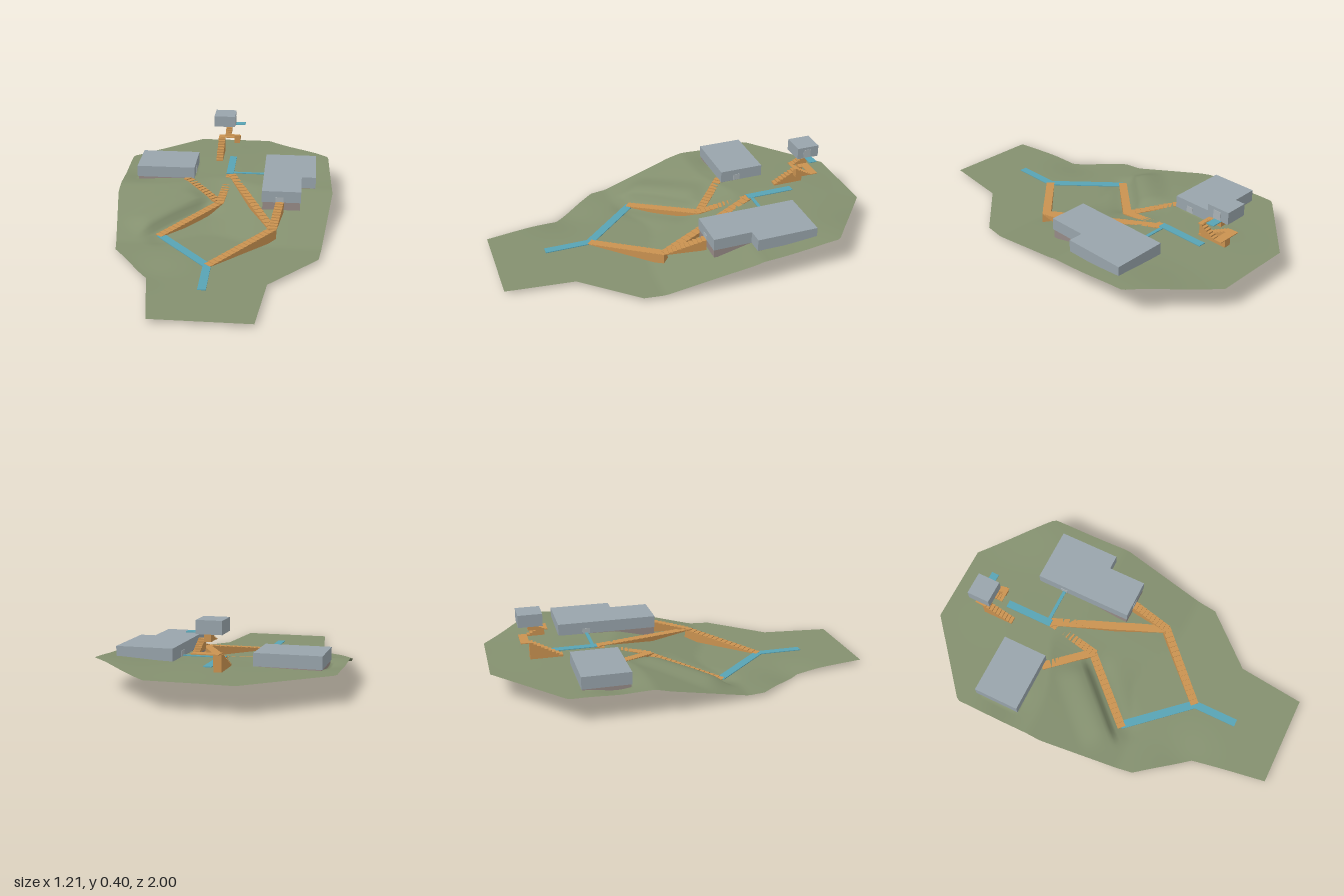
import * as THREE from 'three';

const mat = (name, color, side = THREE.FrontSide) => {
  const m = new THREE.MeshStandardMaterial({ color, side });
  m.name = name;
  return m;
};

export function createModel() {
  const grass = mat('grass', 0x84906f, THREE.DoubleSide);
  const wood = mat('wood', 0xc99250);
  const path = mat('path', 0x58a3b4);
  const wall = mat('wall', 0x98a4ab);
  const footing = mat('footing', 0x968a86);
  const door = mat('door', 0xa9b2b6);
  const root = new THREE.Group();
  root.name = 'hillsideSite';

  const add = (name, geo, m, parent = root) => {
    const mesh = new THREE.Mesh(geo, m);
    mesh.name = name;
    parent.add(mesh);
    return mesh;
  };

  // Ground: rows across the site, draped over a height rule
  const leftEdge = [[-1, -0.22], [-0.67, -0.61], [-0.17, -0.61], [0.34, -0.53], [0.6, -0.325], [1, -0.26]];
  const rightEdge = [[-1, 0.21], [-0.69, 0.58], [-0.22, 0.6], [0.36, 0.525], [0.64, 0.275], [1, 0.235]];
  const edgeAt = (pts, z) => {
    let i = 0;
    while (i < pts.length - 2 && z > pts[i + 1][0]) i++;
    const [a, b] = [pts[i], pts[i + 1]];
    return a[1] + (b[1] - a[1]) * (z - a[0]) / (b[0] - a[0]);
  };
  const bump = (x, z, cx, cz, r) => Math.exp(-((x - cx) ** 2 + (z - cz) ** 2) / (r * r));
  const step = THREE.MathUtils.smoothstep;
  const height = (x, z) => {
    const shifted = z + 0.12 * Math.exp(-(((x + 0.05) / 0.2) ** 2));
    let y = 0.022 + 0.12 * THREE.MathUtils.clamp((0.25 - shifted) / 0.5, 0, 1);
    // Cliff running beside the lower left stair
    const d = -(x + 0.33) * 0.73 - (z - 0.18) * 0.68;
    const s = (x + 0.33) * 0.68 - (z - 0.18) * 0.73;
    const along = step(s, -0.1, 0.02) * (1 - step(s, 0.33, 0.45));
    y -= 0.022 * along * Math.exp(-((d / 0.07) ** 2));
    y += 0.03 * along * step(d, 0.05, 0.075) * (1 - step(d, 0.1, 0.26));
    // Hollows and the raised back corner
    y -= 0.018 * bump(x, z, -0.34, 0.55, 0.14);
    y -= 0.02 * bump(x, z, -0.5, -0.42, 0.1);
    y += 0.027 * bump(x, z, 0.55, -0.72, 0.25);
    y += 0.008 * bump(x, z, 0, -0.7, 0.25);
    // Mound hidden inside the left building
    if (x > -0.51 && x < -0.215 && z > -0.575 && z < -0.365) y = 0.165;
    return Math.max(y, 0);
  };
  const rows = 100, cols = 56, pos = [], idx = [];
  for (let r = 0; r <= rows; r++) {
    const z = -1 + 2 * r / rows;
    const x0 = edgeAt(leftEdge, z), x1 = edgeAt(rightEdge, z);
    for (let c = 0; c <= cols; c++) {
      const x = x0 + (x1 - x0) * c / cols;
      pos.push(x, height(x, z), z);
      if (r < rows && c < cols) {
        const a = r * (cols + 1) + c, b = a + cols + 1;
        idx.push(a, b, a + 1, b, b + 1, a + 1);
      }
    }
  }
  const ground = new THREE.BufferGeometry();
  ground.setAttribute('position', new THREE.Float32BufferAttribute(pos, 3));
  ground.setIndex(idx);
  ground.computeVertexNormals();
  add('ground', ground, grass);

  // Solid stepped wedge climbing from a to b
  const stair = (name, a, b, width, steps) => {
    const dx = b[0] - a[0], dz = b[2] - a[2], len = Math.hypot(dx, dz), rise = b[1] - a[1];
    const shape = new THREE.Shape();
    shape.moveTo(0, 0);
    for (let i = 0; i < steps; i++) {
      shape.lineTo(len * i / steps, rise * (i + 1) / steps);
      shape.lineTo(len * (i + 1) / steps, rise * (i + 1) / steps);
    }
    shape.lineTo(len, 0);
    const geo = new THREE.ExtrudeGeometry(shape, { depth: width, bevelEnabled: false });
    geo.translate(0, 0, -width / 2);
    const mesh = add(name, geo, wood);
    mesh.position.set(...a);
    mesh.rotation.y = Math.atan2(-dz, dx);
  };
  stair('lowerRightStair', [-0.035, 0.028, 0.485], [0.285, 0.09, 0.16], 0.045, 16);
  stair('upperRightStair', [0.28, 0.09, 0.17], [0.01, 0.15, -0.43], 0.045, 18);
  stair('rightBuildingStair', [0.28, 0.09, 0.17], [0.31, 0.15, -0.05], 0.045, 10);
  stair('lowerLeftStair', [-0.33, 0.028, 0.18], [-0.025, 0.09, -0.15], 0.045, 16);
  stair('upperMiddleStair', [-0.03, 0.09, -0.13], [0.01, 0.15, -0.43], 0.045, 12);
  stair('leftBuildingStair', [-0.025, 0.09, -0.14], [-0.24, 0.15, -0.35], 0.045, 12);

  // Flat strips of walkway
  const strip = (name, x0, z0, x1, z1, y, width, m = path) => {
    const mesh = add(name, new THREE.BoxGeometry(Math.hypot(x1 - x0, z1 - z0), 0.004, width), m);
    mesh.position.set((x0 + x1) / 2, y, (z0 + z1) / 2);
    mesh.rotation.y = Math.atan2(z0 - z1, x1 - x0);
  };
  strip('entranceWalk', -0.035, 0.47, -0.035, 0.73, 0.029, 0.042);
  strip('lowerWalk', -0.32, 0.17, -0.035, 0.485, 0.029, 0.045);
  strip('upperWalk', 0.005, -0.42, 0.005, -0.69, 0.152, 0.042);
  strip('sideWalk', 0.0, -0.44, 0.22, -0.44, 0.151, 0.018);

  // Upright prism from a plan outline, optionally hollow
  const plan = (pts) => pts.map(([x, z]) => new THREE.Vector2(x, -z));
  const prism = (name, pts, y0, y1, m, hole) => {
    const shape = new THREE.Shape(plan(pts));
    if (hole) shape.holes.push(new THREE.Path(plan(hole)));
    const geo = new THREE.ExtrudeGeometry(shape, { depth: y1 - y0, bevelEnabled: false });
    geo.rotateX(-Math.PI / 2).translate(0, y0, 0);
    return add(name, geo, m);
  };
  const rect = (x0, x1, z0, z1) => [[x0, z0], [x0, z1], [x1, z1], [x1, z0]];
  const ell = (o) => [[0.21 + o, -0.595 + o], [0.21 + o, -0.05 - o], [0.425 - o, -0.05 - o],
    [0.425 - o, -0.26 - o], [0.505 - o, -0.26 - o], [0.505 - o, -0.595 + o]];
  prism('leftBuilding', rect(-0.53, -0.195, -0.595, -0.345), 0.147, 0.212, wall);
  prism('leftFooting', rect(-0.525, -0.2, -0.59, -0.35), 0.115, 0.147, footing,
    rect(-0.517, -0.208, -0.582, -0.358));
  prism('rightBuilding', ell(0), 0.147, 0.212, wall);
  prism('rightFooting', ell(0.004), 0.1, 0.147, footing, ell(0.012));

  // Tower: three folded flights, two landings and a cabin
  stair('towerStairLow', [-0.075, 0.15, -0.615], [-0.075, 0.24, -0.785], 0.04, 9);
  stair('towerStairMiddle', [0.025, 0.24, -0.785], [0.025, 0.29, -0.695], 0.033, 6);
  stair('towerStairHigh', [-0.028, 0.29, -0.7], [-0.028, 0.335, -0.785], 0.035, 6);
  strip('towerLandingLow', -0.095, -0.807, 0.04, -0.807, 0.24, 0.045, wood);
  strip('towerLandingHigh', -0.045, -0.695, 0.04, -0.695, 0.29, 0.022, wood);
  prism('towerCabin', rect(-0.115, 0.01, -0.84, -0.715), 0.335, 0.4, wall);
  strip('towerBalcony', 0.0, -0.78, 0.07, -0.78, 0.336, 0.042);

  // Thin door panels
  const panel = (name, w, h, d, x, y, z) =>
    add(name, new THREE.BoxGeometry(w, h, d), door).position.set(x, y, z);
  panel('leftDoor', 0.004, 0.035, 0.04, -0.195, 0.166, -0.44);
  panel('rightDoor', 0.045, 0.03, 0.004, 0.308, 0.163, -0.05);
  panel('rightSideDoor', 0.004, 0.03, 0.04, 0.21, 0.163, -0.44);
  panel('towerDoor', 0.004, 0.048, 0.042, 0.01, 0.361, -0.772);
  return root;
}
